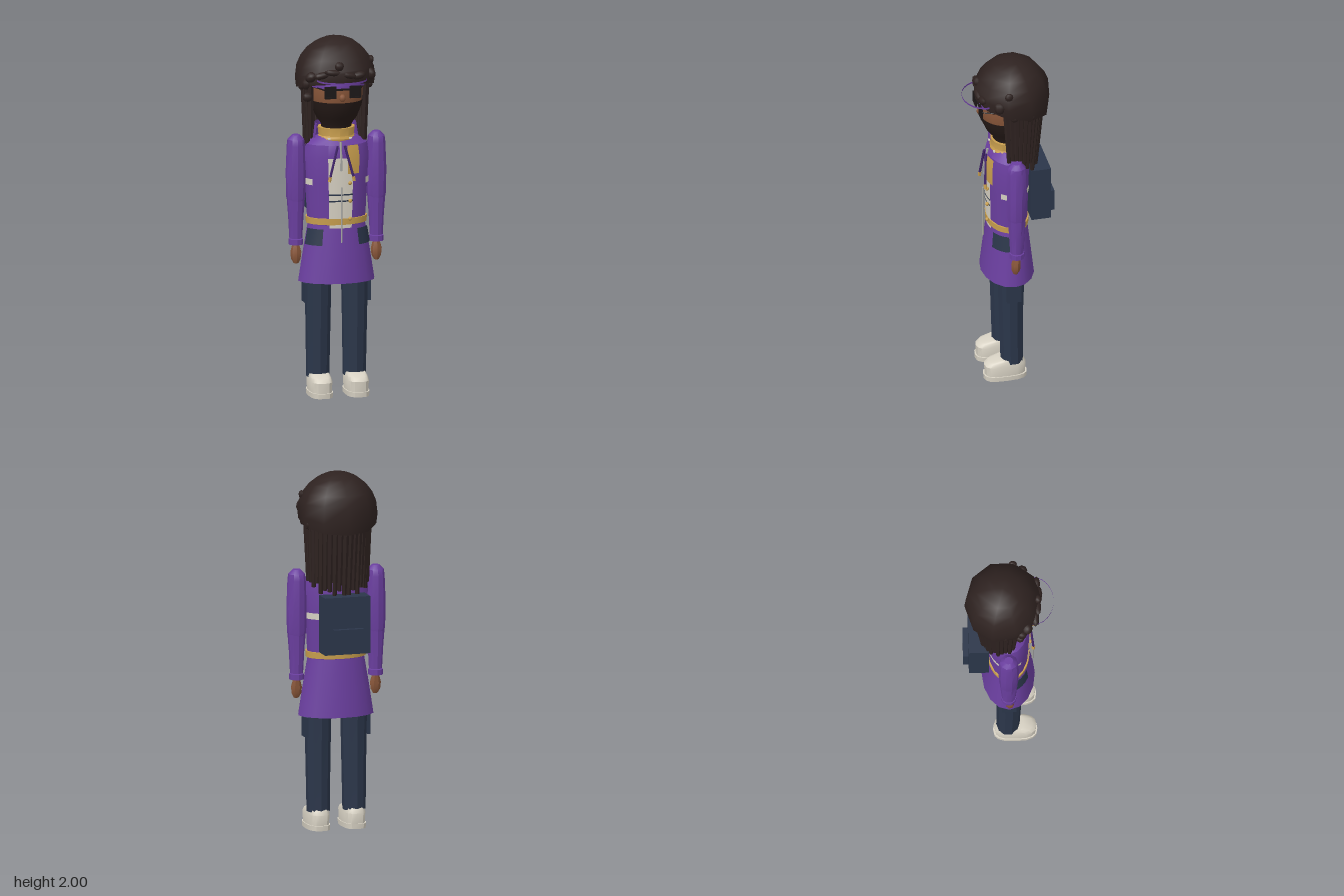
import * as THREE from 'three';
import { toCreasedNormals } from 'three/addons/utils/BufferGeometryUtils.js';

const mat = (name, color, side = THREE.FrontSide) => {
  const m = new THREE.MeshStandardMaterial({ color, side });
  m.name = name;
  return m;
};
const M = {
  hair: mat('dark brown hair', 0x2e2220),
  beard: mat('beard', 0x251a17),
  skin: mat('skin', 0x8a573a),
  purple: mat('purple cloth', 0x6b3fa0, THREE.DoubleSide),
  cord: mat('dark purple cord', 0x41246b),
  navy: mat('navy cloth', 0x2b364a),
  gold: mat('gold trim', 0xc99f4e),
  white: mat('off white', 0xd8d2c4),
  grey: mat('zip grey', 0xa3a3a0),
  black: mat('glasses black', 0x1c1717),
};

export function createModel() {
  const model = new THREE.Group();
  const TAU = Math.PI * 2;

  const add = (name, geo, m, pos = [0, 0, 0], crease = 0.6, parent = model) => {
    const mesh = new THREE.Mesh(crease ? toCreasedNormals(geo, crease) : geo, m);
    mesh.name = name;
    mesh.position.set(...pos);
    parent.add(mesh);
    return mesh;
  };

  // Skin over rings [y, rx, rz, cz]; angle 0 faces +z, full turns get caps
  function loft(rings, n, a0 = 0, a1 = TAU, p = 1) {
    const pos = [], idx = [], w = n + 1;
    const pw = v => Math.sign(v) * Math.abs(v) ** p;
    for (const [y, rx, rz, cz = 0] of rings)
      for (let j = 0; j <= n; j++) {
        const a = a0 + (a1 - a0) * j / n;
        pos.push(rx * pw(Math.sin(a)), y, cz + rz * pw(Math.cos(a)));
      }
    for (let i = 0; i < rings.length - 1; i++)
      for (let j = 0; j < n; j++) {
        const a = i * w + j, b = a + 1, c = b + w, d = a + w;
        idx.push(a, b, c, a, c, d);
      }
    if (a1 - a0 > 6.28) {
      const L = rings.length - 1, k = pos.length / 3, B = rings[0], T = rings[L];
      pos.push(0, B[0], B[3] || 0, 0, T[0], T[3] || 0);
      for (let j = 0; j < n; j++)
        idx.push(j + 1, j, k, L * w + j, L * w + j + 1, k + 1);
    }
    const g = new THREE.BufferGeometry();
    g.setAttribute('position', new THREE.Float32BufferAttribute(pos, 3));
    g.setIndex(idx);
    return g;
  }

  // Thin layer following a lofted body between two heights; k counts 16ths of a turn
  function overlay(rings, y0, y1, k0, k1, off) {
    const at = y => {
      let i = 0;
      while (i < rings.length - 2 && rings[i + 1][0] < y) i++;
      const t = (y - rings[i][0]) / (rings[i + 1][0] - rings[i][0]);
      const l = c => THREE.MathUtils.lerp(rings[i][c] || 0, rings[i + 1][c] || 0, t);
      return [y, l(1) + off, l(2) + off, l(3)];
    };
    const ys = [y0, ...rings.map(r => r[0]).filter(y => y > y0 && y < y1), y1];
    return loft(ys.map(at), Math.round((k1 - k0) * 2), k0 * TAU / 16, k1 * TAU / 16);
  }

  function rod(name, a, b, r, m, r2 = r, n = 6) {
    const A = new THREE.Vector3(...a), B = new THREE.Vector3(...b);
    const d = B.clone().sub(A);
    const mesh = add(name, new THREE.CylinderGeometry(r2, r, d.length(), n), m);
    mesh.position.copy(A).add(B).multiplyScalar(0.5);
    mesh.quaternion.setFromUnitVectors(new THREE.Vector3(0, 1, 0), d.normalize());
  }
  const box = (name, w, h, d, x, y, z, m) => add(name, new THREE.BoxGeometry(w, h, d), m, [x, y, z]);
  const blob = (name, x, y, z, sx, sy, sz, m, tilt = 0) => {
    const s = add(name, new THREE.SphereGeometry(1, 8, 6), m, [x, y, z], 0);
    s.scale.set(sx, sy, sz);
    s.rotation.z = tilt;
  };

  // Coat body, skirt and belt
  const torso = [[0.94, 0.16, 0.108], [1.0, 0.165, 0.11], [1.2, 0.175, 0.115], [1.34, 0.185, 0.12],
    [1.41, 0.172, 0.11], [1.45, 0.11, 0.075]];
  const skirt = [[0.64, 0.215, 0.146], [0.8, 0.19, 0.128], [0.96, 0.162, 0.11]];
  add('coatBody', loft(torso, 16), M.purple);
  add('coatSkirt', loft(skirt, 16), M.purple);
  add('belt', overlay(torso, 0.965, 1.0, 0, 16, 0.007), M.gold);
  add('shirtPanel', overlay(torso, 1.0, 1.34, -1, 1, 0.004), M.white);
  add('shirtHem', overlay(torso, 0.945, 0.965, -1, 1, 0.004), M.white);
  add('goldLapel', overlay(torso, 1.25, 1.41, 0.5, 1.5, 0.008), M.gold);
  add('reflectiveBand', overlay(torso, 1.185, 1.22, 2.5, 13.5, 0.005), M.white);
  for (const y of [1.095, 1.13]) add('chestSeam', overlay(torso, y, y + 0.008, -1, 1, 0.007), M.navy);
  for (const k of [1.5, -3.5]) add('hipPocket', overlay(skirt, 0.85, 0.94, k, k + 2, 0.006), M.navy);

  // Collar and hood
  add('collar', loft([[1.42, 0.105, 0.09], [1.44, 0.11, 0.095], [1.455, 0.1, 0.088], [1.5, 0.105, 0.092]], 12), M.gold);
  add('hood', loft([[1.42, 0.13, 0.11, -0.01], [1.52, 0.115, 0.1, -0.02]], 12, 1.3, TAU - 1.3), M.purple);
  for (const x of [-0.06, 0.06]) box('collarStud', 0.015, 0.008, 0.008, x, 1.445, 0.085, M.white);

  // Zips, buttons and drawstrings
  rod('longZip', [0, 0.87, 0.133], [0, 1.18, 0.133], 0.005, M.grey);
  rod('topZip', [0, 1.27, 0.126], [0, 1.43, 0.108], 0.007, M.grey);
  for (const y of [1.0, 1.1, 1.2]) blob('button', 0.05, y, 0.122, 0.011, 0.011, 0.011, M.gold);
  for (const s of [-1, 1]) {
    rod('drawstring', [s * 0.02, 1.41, 0.122], [s * 0.065, 1.24, 0.136], 0.007, M.cord);
    rod('drawstringTip', [s * 0.065, 1.24, 0.136], [s * 0.07, 1.215, 0.136], 0.009, M.gold);
  }

  // Limbs, mirrored
  for (const s of [-1, 1]) {
    const arm = new THREE.Group();
    arm.name = s > 0 ? 'leftArm' : 'rightArm';
    arm.position.set(s * 0.227, 0, -0.004);
    arm.rotation.z = 0;
    model.add(arm);
    const part = (n, g, m) => add(n, g, m, [0, 0, 0], 0.6, arm);
    part('upperSleeve', loft([[1.08, 0.045, 0.048], [1.11, 0.053, 0.052], [1.25, 0.056, 0.056], [1.4, 0.05, 0.054],
      [1.435, 0.046, 0.048], [1.46, 0.022, 0.024]], 10), M.purple);
    part('lowerSleeve', loft([[0.88, 0.036, 0.038], [1.0, 0.042, 0.045], [1.1, 0.05, 0.05]], 10), M.purple);
    part('cuff', loft([[0.845, 0.04, 0.042], [0.875, 0.04, 0.042]], 10), M.purple);
    part('hand', loft([[0.74, 0.014, 0.012, 0.008], [0.765, 0.028, 0.024, 0.006], [0.8, 0.032, 0.026, 0.006],
      [0.85, 0.018, 0.02]], 7), M.skin);

    const leg = new THREE.Group();
    leg.name = s > 0 ? 'leftLeg' : 'rightLeg';
    leg.position.x = s * 0.103;
    model.add(leg);
    const lp = (n, g, m) => add(n, g, m, [0, 0, 0], 0.6, leg);
    lp('trouserLeg', loft([[0.1, 0.064, 0.064, -0.005], [0.4, 0.069, 0.068], [0.7, 0.075, 0.078]], 10), M.navy);
    lp('shoeSole', loft([[0, 0.064, 0.12, 0.035], [0.028, 0.066, 0.122, 0.035]], 16, 0, TAU, 0.7), M.white);
    lp('shoeUpper', loft([[0.028, 0.06, 0.113, 0.036], [0.085, 0.063, 0.116, 0.035], [0.106, 0.058, 0.1, 0.03],
      [0.122, 0.054, 0.07, 0.01]], 16, 0, TAU, 0.7), M.white);
    box('cargoPocket', 0.016, 0.11, 0.08, s * 0.178, 0.575, 0, M.navy);
  }

  // Backpack
  box('backpack', 0.26, 0.32, 0.11, 0, 1.17, -0.165, M.navy);
  box('backpackPocket', 0.17, 0.125, 0.03, 0, 1.092, -0.235, M.navy);

  // Head, beard and nose
  const head = [[1.47, 0.07, 0.065], [1.52, 0.08, 0.07, 0.005], [1.56, 0.108, 0.103, 0.005], [1.62, 0.132, 0.134],
    [1.68, 0.146, 0.147], [1.76, 0.15, 0.15], [1.86, 0.12, 0.12]];
  add('head', loft(head, 16), M.skin, [0, 0, 0], 0.8);
  add('beard', overlay(head, 1.5, 1.655, -4.5, 4.5, 0.007), M.beard, [0, 0, 0], 0.8);
  blob('nose', 0, 1.685, 0.152, 0.018, 0.022, 0.018, M.skin);

  // Headband with a thin projecting brim edge
  add('headband', overlay(head, 1.735, 1.8, -4, 4, 0.008), M.purple);
  add('brimEdge', loft([[1.78, 0.14, 0.12, 0.13], [1.79, 0.14, 0.12, 0.13]], 12, -Math.PI / 2, Math.PI / 2), M.purple);

  // Glasses
  for (const s of [-1, 1]) {
    box('lens', 0.05, 0.05, 0.005, s * 0.07, 1.72, 0.16, M.black);
    for (const d of [-1, 1]) {
      box('frameSide', 0.008, 0.068, 0.01, s * 0.07 + d * 0.028, 1.72, 0.162, M.black);
      box('frameBar', 0.064, 0.008, 0.01, s * 0.07, 1.72 + d * 0.03, 0.162, M.black);
    }
    rod('glassesArm', [s * 0.1, 1.735, 0.16], [s * 0.152, 1.735, 0.02], 0.004, M.black);
  }
  box('bridge', 0.08, 0.01, 0.008, 0, 1.735, 0.162, M.black);

  // Hair cap: rounded dome whose lower edge drops towards the back
  const capRings = [];
  for (let i = 0; i <= 7; i++) {
    const t = 1.82 * (1 - i / 7) + 0.001;
    capRings.push([0.222 * Math.cos(t), 0.222 * Math.sin(t), 0.213 * Math.sin(t)]);
  }
  const cap = loft(capRings, 10), cp = cap.attributes.position;
  for (let i = 0; i < cp.count; i++)
    if (cp.getY(i) < 0.03) cp.setY(i, cp.getY(i) + cp.getZ(i) * 0.22);
  add('hairCap', cap, M.hair, [0, 1.778, -0.028], 0.95);

  // Long locks hanging round the sides and back
  add('hairBack', loft([[1.4, 0.15, 0.13, -0.03], [1.76, 0.165, 0.15, -0.03]], 12, 1.75, TAU - 1.75), M.hair);
  const locks = 25;
  for (let i = 0; i < locks; i++) {
    const a = 1.15 + (TAU - 2.3) * i / (locks - 1), back = Math.max(0, -Math.cos(a));
    const x = Math.sin(a), z = Math.cos(a);
    const end = 1.42 - 0.09 * back + 0.025 * Math.sin(i * 2.4);
    rod('lock', [x * 0.165, end, -0.03 + z * 0.125], [x * 0.17, 1.76, -0.03 + z * 0.16], 0.012, M.hair, 0.022, 6);
  }

  // Twisted rolls along the hairline: position, half sizes, tilt
  const rolls = [
    [-0.11, 1.815, 0.145, 0.05, 0.02, 0.02, 0.2], [-0.05, 1.83, 0.16, 0.055, 0.018, 0.02, -0.1],
    [-0.02, 1.865, 0.162, 0.026, 0.026, 0.022, 0], [0.03, 1.815, 0.168, 0.05, 0.018, 0.02, -0.2],
    [0.09, 1.81, 0.158, 0.04, 0.022, 0.02, 0.2], [-0.165, 1.8, 0.1, 0.035, 0.028, 0.03, 0.5],
    [-0.187, 1.755, 0.07, 0.022, 0.03, 0.028, 0], [-0.175, 1.68, 0.06, 0.028, 0.026, 0.025, 0],
    [0.175, 1.8, 0.08, 0.028, 0.035, 0.03, 0.3], [0.185, 1.73, 0.0, 0.022, 0.025, 0.025, 0],
    [0.185, 1.725, -0.09, 0.02, 0.028, 0.028, 0], [0.188, 1.87, 0.03, 0.016, 0.024, 0.024, 0],
    [-0.19, 1.73, -0.02, 0.02, 0.024, 0.026, 0],
  ];
  for (const [x, y, z, sx, sy, sz, t] of rolls) blob('hairRoll', x, y, z, sx, sy, sz, M.hair, t);

  return model;
}
